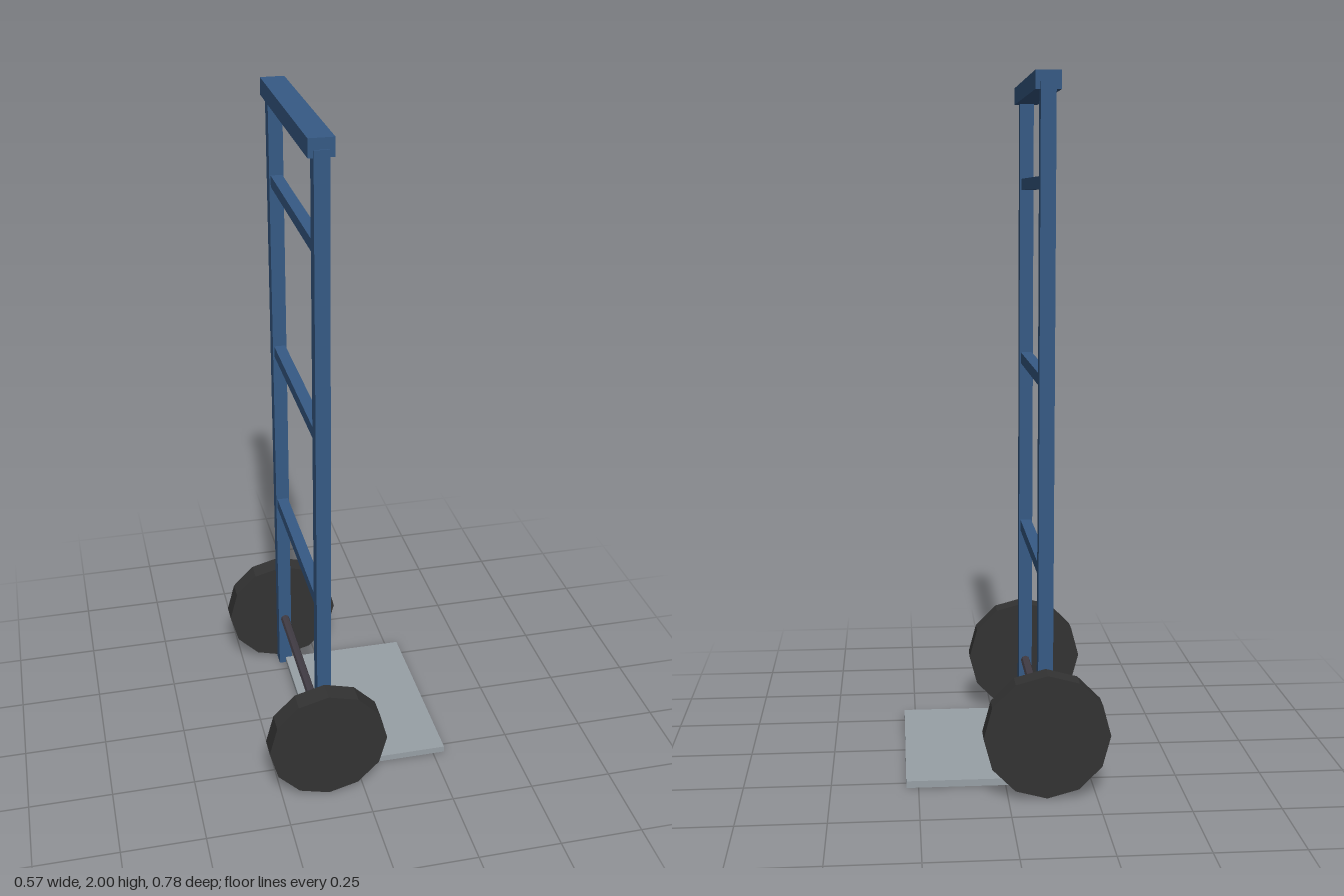
import * as THREE from 'three';

export function createModel() {
  const root = new THREE.Group();
  root.name = 'handTruck';

  const material = (name, color) => {
    const m = new THREE.MeshStandardMaterial({ color, flatShading: true });
    m.name = name;
    return m;
  };
  const blue = material('bluePaint', 0x365a85);
  const steel = material('greySteel', 0x98a0a6);
  const rubber = material('blackRubber', 0x333333);
  const axleMetal = material('darkAxleMetal', 0x423d45);

  const frameX = -0.109;
  const wheelRadius = 0.179;

  const add = (name, geometry, mat, x, y, z) => {
    const mesh = new THREE.Mesh(geometry, mat);
    mesh.name = name;
    mesh.position.set(x, y, z);
    root.add(mesh);
    return mesh;
  };
  const box = (name, mat, w, h, d, x, y, z) =>
    add(name, new THREE.BoxGeometry(w, h, d), mat, x, y, z);
  // Cylinder lying along z
  const roller = (name, mat, radius, length, sides, z) =>
    add(name, new THREE.CylinderGeometry(radius, radius, length, sides).rotateX(Math.PI / 2),
      mat, frameX, 0.181, z);

  // Uprights and wheels on both sides
  for (const [side, s] of [['left', 1], ['right', -1]]) {
    box(side + 'Upright', blue, 0.042, 1.97, 0.041, frameX, 0.985, s * 0.307);
    roller(side + 'Wheel', rubber, wheelRadius, 0.062, 12, s * 0.359);
  }

  // Top handle
  box('handle', blue, 0.07, 0.05, 0.646, frameX, 1.975, 0);

  // Cross rungs
  [0.632, 1.171, 1.708].forEach((y, i) =>
    box('rung' + (i + 1), blue, 0.034, 0.034, 0.58, frameX, y, 0));

  // Axle between the wheels
  roller('axle', axleMetal, 0.0143, 0.7, 8, 0);

  // Toe plate
  box('toePlate', steel, 0.394, 0.02, 0.573, 0.088, 0.011, 0);

  return root;
}
